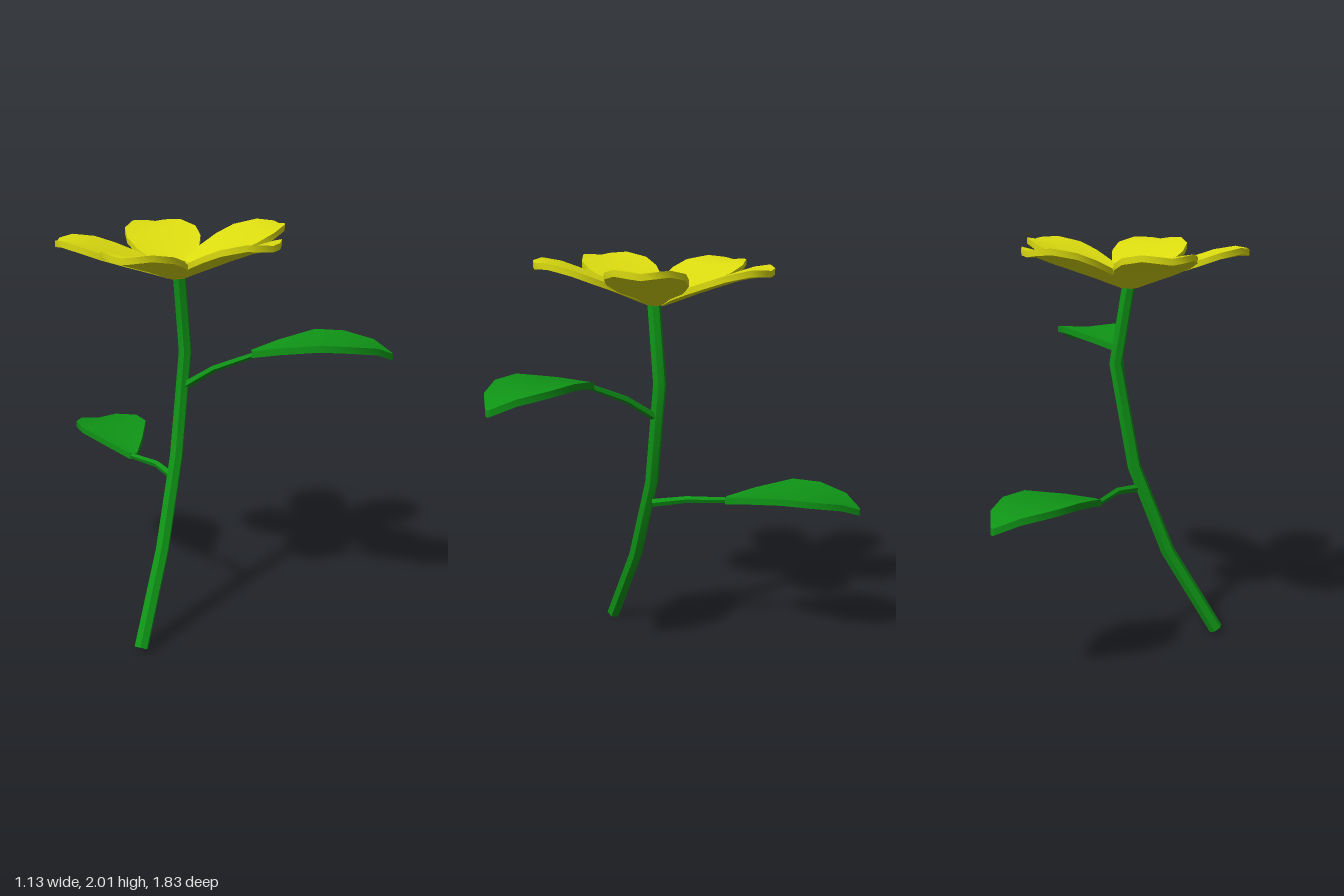
import * as THREE from 'three';
import { toCreasedNormals } from 'three/addons/utils/BufferGeometryUtils.js';

const V = (x, y, z) => new THREE.Vector3(x, y, z);
const green = new THREE.MeshStandardMaterial({ color: 0x0f9416 });
const yellow = new THREE.MeshStandardMaterial({ color: 0xdcdc10 });

// Skin a list of equal-sized rings and cap both ends
function loft(rings) {
  const n = rings[0].length, pos = [], idx = [];
  rings.flat().forEach(p => pos.push(p.x, p.y, p.z));
  for (let r = 0; r < rings.length - 1; r++) {
    for (let i = 0; i < n; i++) {
      const a = r * n + i, b = r * n + (i + 1) % n;
      idx.push(a, b, b + n, a, b + n, a + n);
    }
  }
  const last = (rings.length - 1) * n;
  for (let i = 1; i < n - 1; i++) {
    idx.push(0, i + 1, i, last, last + i, last + i + 1);
  }
  const g = new THREE.BufferGeometry();
  g.setAttribute('position', new THREE.Float32BufferAttribute(pos, 3));
  g.setIndex(idx);
  return toCreasedNormals(g, 0.6);
}

// Faceted stalk through a few points
function stalk(points, r0, r1, sides) {
  const last = points.length - 1;
  return loft(points.map((p, k) => {
    const t = points[Math.min(k + 1, last)].clone().sub(points[Math.max(k - 1, 0)]).normalize();
    const e1 = V(1, 0, 0).cross(t).normalize();
    const e2 = t.clone().cross(e1);
    const r = r0 + (r1 - r0) * k / last;
    return Array.from({ length: sides }, (_, i) => {
      const a = i / sides * Math.PI * 2;
      return p.clone().addScaledVector(e1, r * Math.cos(a)).addScaledVector(e2, r * Math.sin(a));
    });
  }));
}

// Thin cupped blade: stations are [distance, half width, top height]
function blade(base, angle, stations, thick, cup) {
  const u = V(Math.cos(angle), 0, Math.sin(angle));
  const side = V(u.z, 0, -u.x);
  return loft(stations.map(([s, w, h]) => {
    const at = (k, drop) => base.clone().addScaledVector(u, s)
      .addScaledVector(side, k * w)
      .add(V(0, h - drop + Math.abs(k) * cup * Math.min(1, w / 0.1), 0));
    return [at(1, thick), at(1, 0), at(0, 0), at(-1, 0), at(-1, thick), at(0, thick)];
  }));
}

export function createModel() {
  const model = new THREE.Group();
  const add = (name, geometry, material, parent = model) => {
    const m = new THREE.Mesh(geometry, material);
    m.name = name;
    parent.add(m);
    return m;
  };

  // Bent main stem
  add('stem', stalk([
    V(-0.435, 0.016, 0.115), V(-0.19, 0.44, 0.055), V(-0.025, 0.88, 0.015),
    V(0.065, 1.4, 0), V(0, 1.8, 0.012),
  ], 0.036, 0.033, 6), green);

  // Two leaves on thin stalks
  const leafShape = [
    [0, 0.02, 0.015], [0.13, 0.095, 0.04], [0.31, 0.18, 0.075],
    [0.45, 0.175, 0.07], [0.59, 0.1, 0.045], [0.67, 0.01, 0.01],
  ];
  const leaves = [
    { name: 'frontLeaf', path: [V(0.04, 1.23, 0.015), V(0.075, 1.335, 0.17), V(0.125, 1.425, 0.37)], tip: [0.505, 0.9] },
    { name: 'backLeaf', path: [V(-0.03, 0.765, 0.01), V(0.03, 0.787, -0.15), V(0.075, 0.778, -0.36)], tip: [0.415, -0.91] },
  ];
  for (const { name, path, tip } of leaves) {
    const leaf = new THREE.Group();
    leaf.name = name;
    model.add(leaf);
    add('leafStalk', stalk(path, 0.021, 0.015, 5), green, leaf);
    const base = path[2].clone();
    base.z -= Math.sign(base.z) * 0.015;
    const angle = Math.atan2(tip[1] - base.z, tip[0] - base.x);
    add('leafBlade', blade(base, angle, leafShape, 0.032, 0.012), green, leaf);
  }

  // Five rounded petals in a slightly tilted ring
  const petalShape = [
    [0.04, 0.025, 0.02], [0.12, 0.1, 0.05], [0.22, 0.155, 0.09], [0.33, 0.187, 0.13],
    [0.43, 0.183, 0.165], [0.53, 0.125, 0.187], [0.58, 0.05, 0.188],
  ];
  const flower = new THREE.Group();
  flower.name = 'flower';
  model.add(flower);
  for (let i = 0; i < 5; i++) {
    const a = THREE.MathUtils.degToRad(95 - 72 * i);
    const tilt = 0.035 * (Math.cos(a) + Math.sin(a));
    const shape = petalShape.map(([s, w, h]) => [s, w, h + tilt * s]);
    add('petal', blade(V(0, 1.78, 0), a, shape, 0.03, 0.014), yellow, flower);
  }

  // Low faceted flower centre
  const centre = new THREE.SphereGeometry(0.085, 8, 4);
  centre.scale(1, 0.5, 1);
  add('flowerCentre', toCreasedNormals(centre, 0.3), yellow, flower).position.set(0, 1.815, 0);

  return model;
}
